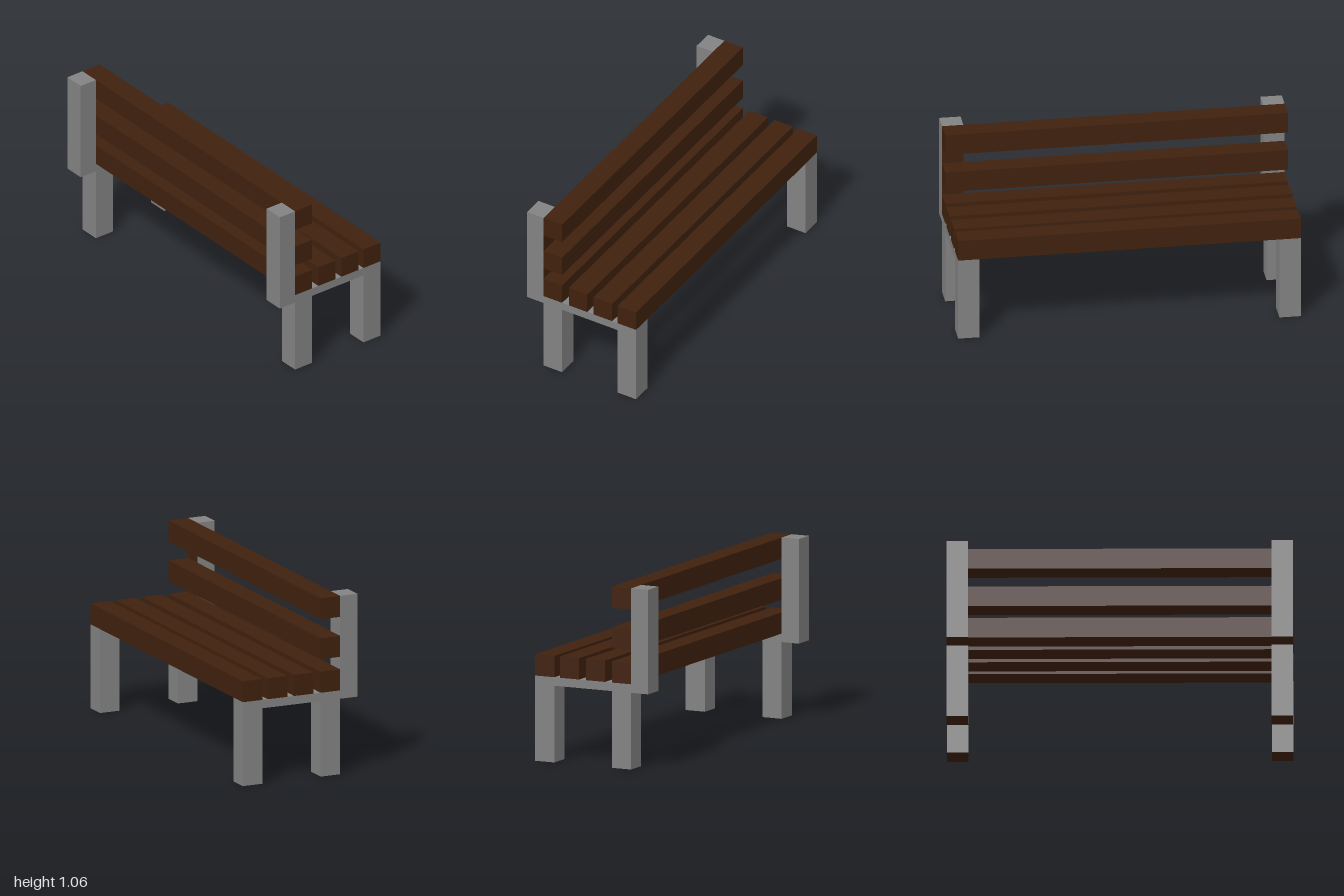
import * as THREE from 'three';

export function createModel() {
  const model = new THREE.Group();
  model.name = 'bench';

  const stone = new THREE.MeshStandardMaterial({ color: 0x828282 });
  stone.name = 'grey stone';
  const wood = new THREE.MeshStandardMaterial({ color: 0x40210d });
  wood.name = 'dark wood';

  // Box from its x, y and z ranges
  function box(name, [x0, x1], [y0, y1], [z0, z1], material, parent = model) {
    const mesh = new THREE.Mesh(new THREE.BoxGeometry(x1 - x0, y1 - y0, z1 - z0), material);
    mesh.position.set((x0 + x1) / 2, (y0 + y1) / 2, (z0 + z1) / 2);
    mesh.name = name;
    parent.add(mesh);
  }

  // Seat slats
  const size = 0.125;
  for (const x of [-0.257, -0.087, 0.082, 0.243]) {
    box('seatSlat', [x, x + size], [0.5, 0.625], [-1, 1], wood);
  }

  // Backrest slats
  for (const y of [0.7, 0.938]) {
    box('backSlat', [-0.257, -0.132], [y, y + size], [-1, 1], wood);
  }

  // End frames: two legs, a crossbar and a back post, with wood-coloured undersides
  const legFaces = [stone, stone, stone, wood, stone, stone];
  for (const side of [-1, 1]) {
    const frame = new THREE.Group();
    frame.name = side > 0 ? 'frontEndFrame' : 'rearEndFrame';
    model.add(frame);
    const z = side > 0 ? [0.875, 1] : [-1, -0.875];
    box('backLeg', [-0.257, -0.132], [0, 0.45], z, legFaces, frame);
    box('frontLeg', [0.243, 0.368], [0, 0.45], z, legFaces, frame);
    box('crossbar', [-0.257, 0.368], [0.45, 0.5], z, stone, frame);
    // One post has its seat-facing side in wood
    const postFaces = [side > 0 ? wood : stone, stone, stone, wood, stone, stone];
    box('backPost', [-0.368, -0.257], [0.45, 1.063], z, postFaces, frame);
  }

  return model;
}
